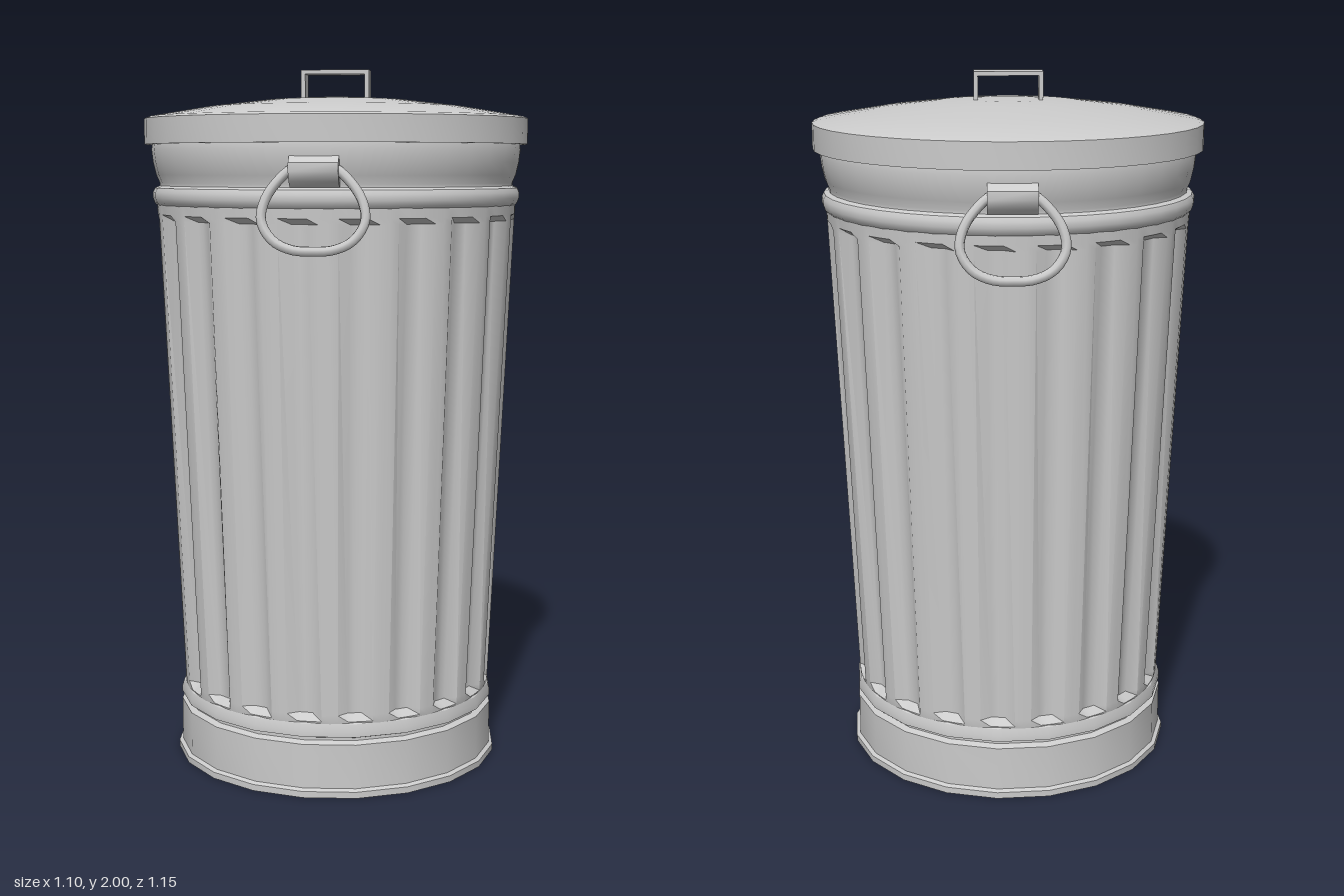
import * as THREE from 'three';
import { toCreasedNormals } from 'three/addons/utils/BufferGeometryUtils.js';

const material = new THREE.MeshStandardMaterial({ color: 0xcccccc, side: THREE.DoubleSide });
const FLUTES = 20;
const PITCH = (Math.PI * 2) / FLUTES;
const START = THREE.MathUtils.degToRad(-5);

function mesh(name, geometry, crease) {
  const m = new THREE.Mesh(crease ? toCreasedNormals(geometry, crease) : geometry, material);
  m.name = name;
  return m;
}

function turned(name, profile, sides, crease = 0.5) {
  const points = profile.map(([r, y]) => new THREE.Vector2(r, y));
  return mesh(name, new THREE.LatheGeometry(points, sides, START), crease);
}

// Tapered wall with recessed vertical flutes that end in sloped ledges
function flutedWall() {
  const section = [[-0.5, 0], [-0.34, 0], [-0.14, 1], [0, 1], [0.14, 1], [0.34, 0]];
  // height, outer radius, flute depth
  const rows = [[0.2, 0.452, 0], [0.232, 0.456, 0], [0.215, 0.455, 0.024],
    [1.578, 0.514, 0.024], [1.594, 0.515, 0], [1.63, 0.517, 0]];
  rows.splice(1, 2, [0.214, 0.455, 0], [0.232, 0.456, 0.024]);
  const cols = FLUTES * section.length;
  const positions = [], index = [];
  for (const [y, r, depth] of rows) {
    for (let i = 0; i <= cols; i++) {
      const [offset, dip] = section[i % section.length];
      const a = START + (Math.floor(i / section.length) + offset) * PITCH;
      const radius = r - depth * dip;
      positions.push(Math.sin(a) * radius, y, Math.cos(a) * radius);
    }
  }
  for (let j = 0; j < rows.length - 1; j++) {
    for (let i = 0; i < cols; i++) {
      const a = j * (cols + 1) + i, d = a + cols + 1;
      index.push(a, a + 1, d, a + 1, d + 1, d);
    }
  }
  const g = new THREE.BufferGeometry();
  g.setAttribute('position', new THREE.Float32BufferAttribute(positions, 3));
  g.setIndex(index);
  return mesh('flutedWall', g, 0.75);
}

// Hanging D-shaped ring with the bracket that holds it
function sideHandle(name) {
  const group = new THREE.Group();
  group.name = name;
  const half = [[0.05, 1.725], [0.085, 1.7], [0.125, 1.645], [0.135, 1.59], [0.105, 1.54], [0.055, 1.516]];
  const outline = [...half, [0, 1.512], ...half.map(([x, y]) => [-x, y]).reverse()];
  const path = new THREE.CatmullRomCurve3(
    outline.map(([x, y]) => new THREE.Vector3(x, y, 0.527 + (1.725 - y) * 0.17)), true);
  group.add(mesh('handleRing', new THREE.TubeGeometry(path, 48, 0.013, 8, true)));

  // Side profile of the bracket (z, y), extruded across x
  const shape = new THREE.Shape([[0.49, 1.765], [0.527, 1.755], [0.547, 1.738], [0.549, 1.715],
    [0.535, 1.69], [0.515, 1.675], [0.49, 1.675]].map(([z, y]) => new THREE.Vector2(z, y)));
  const g = new THREE.ExtrudeGeometry(shape, { depth: 0.13, bevelEnabled: false });
  g.rotateY(-Math.PI / 2).translate(0.065, 0, 0);
  group.add(mesh('handleBracket', g, 0.6));
  return group;
}

export function createModel() {
  const model = new THREE.Group();
  model.name = 'trashCan';

  // Base with foot rim and pinched groove
  model.add(turned('base', [[0, 0], [0.476, 0], [0.476, 0.018], [0.465, 0.024], [0.465, 0.15],
    [0.447, 0.157], [0.447, 0.165], [0.465, 0.172], [0.465, 0.188], [0.459, 0.208], [0.452, 0.214]], FLUTES));

  model.add(flutedWall());

  // Rolled bead and bulging collar below the lid
  model.add(turned('collar', [[0.515, 1.618], [0.523, 1.626], [0.528, 1.64], [0.528, 1.656], [0.522, 1.668],
    [0.508, 1.674], [0.508, 1.682], [0.518, 1.705], [0.526, 1.74], [0.53, 1.775], [0.528, 1.79],
    [0.515, 1.795], [0.515, 1.845]], 40));

  // Lid shell: underside, hanging skirt and shallow dome
  model.add(turned('lid', [[0, 1.845], [0.538, 1.845], [0.538, 1.79], [0.55, 1.79], [0.55, 1.862],
    [0.536, 1.868], [0.37, 1.896], [0.2, 1.916], [0.1, 1.922], [0, 1.923]], 40));

  // Strap handle on the lid
  const strap = new THREE.Shape([[-0.097, 1.91], [-0.085, 1.91], [-0.085, 1.988], [0.085, 1.988],
    [0.085, 1.91], [0.097, 1.91], [0.097, 2], [-0.097, 2]].map(([x, y]) => new THREE.Vector2(x, y)));
  const strapGeometry = new THREE.ExtrudeGeometry(strap, { depth: 0.074, bevelEnabled: false });
  model.add(mesh('lidHandle', strapGeometry.translate(0, 0, -0.037)));

  const front = sideHandle('frontHandle');
  const back = sideHandle('backHandle');
  back.rotation.y = Math.PI;
  model.add(front, back);
  return model;
}
